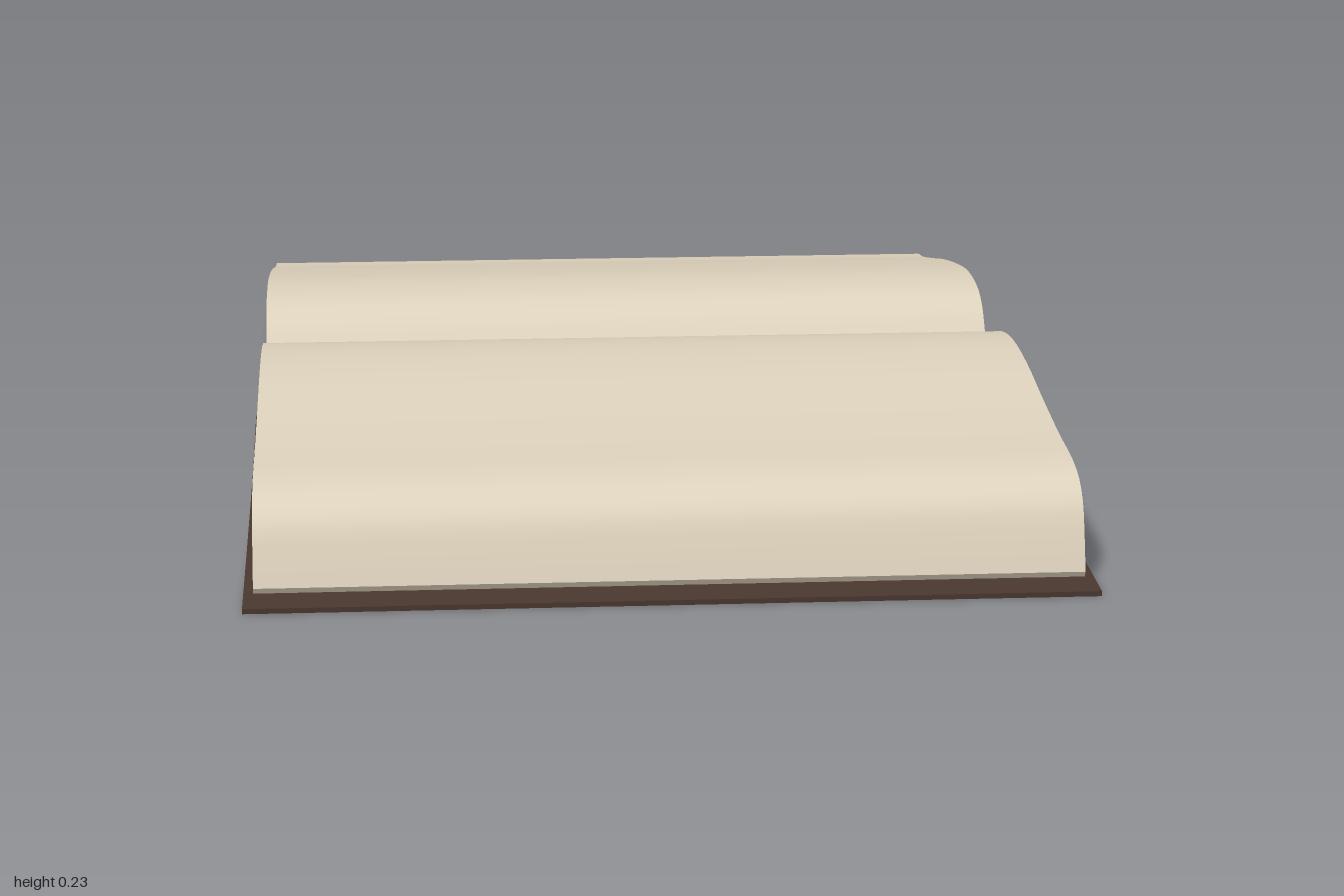
import * as THREE from 'three';
import { toCreasedNormals } from 'three/addons/utils/BufferGeometryUtils.js';

const paper = new THREE.MeshStandardMaterial({ color: 0xddd2bc });
paper.name = 'paper';
const leather = new THREE.MeshStandardMaterial({ color: 0x4a3830 });
leather.name = 'leather';

// Smooth curve through [z, y] points
function smooth(points, count) {
  const curve = new THREE.CatmullRomCurve3(points.map(([z, y]) => new THREE.Vector3(-z, y, 0)), false, 'centripetal');
  return curve.getSpacedPoints(count).map((p) => new THREE.Vector2(p.x, p.y));
}

// Extrude a closed side profile across the book's width
function extrudeAcross(outline, width, material, name) {
  const geometry = new THREE.ExtrudeGeometry(new THREE.Shape(outline), { depth: width, bevelEnabled: false });
  geometry.translate(0, 0, -width / 2);
  geometry.rotateY(Math.PI / 2);
  const mesh = new THREE.Mesh(toCreasedNormals(geometry, 0.6), material);
  mesh.name = name;
  return mesh;
}

// Page block: curved top and fore edge, straight underside
function pageBlock(top, name) {
  return extrudeAcross(smooth(top.slice(1, -1), 48)
    .concat([top[top.length - 1], top[0]].map(([z, y]) => new THREE.Vector2(-z, y))), 1.26, paper, name);
}

// Cover: a thin sheet following one line, thickened along its normals
function coverSheet(points, thickness) {
  const line = smooth(points, 110);
  const lower = [], upper = [];
  line.forEach((p, i) => {
    const a = line[Math.max(i - 1, 0)], b = line[Math.min(i + 1, line.length - 1)];
    const n = new THREE.Vector2(a.y - b.y, b.x - a.x).normalize().multiplyScalar(thickness / 2);
    lower.push(p.clone().sub(n));
    upper.push(p.clone().add(n));
  });
  return extrudeAcross(lower.concat(upper.reverse()), 1.29, leather, 'cover');
}

export function createModel() {
  const book = new THREE.Group();
  book.name = 'openBook';

  book.add(pageBlock([
    [0.01, 0.078], [0.01, 0.157], [0.07, 0.186], [0.15, 0.209], [0.23, 0.22], [0.31, 0.221],
    [0.42, 0.212], [0.55, 0.193], [0.7, 0.174], [0.82, 0.163], [0.875, 0.148], [0.91, 0.12],
    [0.927, 0.08], [0.945, 0.022], [0.94, 0.013],
  ], 'frontPages'));

  book.add(pageBlock([
    [-0.018, 0.088], [-0.018, 0.162], [-0.05, 0.2], [-0.09, 0.222], [-0.15, 0.232], [-0.23, 0.233],
    [-0.34, 0.22], [-0.5, 0.194], [-0.65, 0.164], [-0.77, 0.141], [-0.845, 0.13], [-0.88, 0.108],
    [-0.9, 0.07], [-0.917, 0.04], [-0.917, 0.022],
  ], 'backPages'));

  // Boards with the spine's dip between them
  book.add(coverSheet([
    [1, 0.004], [0.8, 0.014], [0.6, 0.026], [0.42, 0.038], [0.3, 0.05], [0.22, 0.065], [0.16, 0.074],
    [0.12, 0.071], [0.098, 0.052], [0.085, 0.031], [0.06, 0.02], [0.01, 0.018], [-0.04, 0.026],
    [-0.068, 0.042], [-0.08, 0.067], [-0.1, 0.085], [-0.14, 0.087], [-0.21, 0.081], [-0.3, 0.064],
    [-0.4, 0.047], [-0.55, 0.034], [-0.7, 0.021], [-0.82, 0.013], [-1, 0.013],
  ], 0.008));

  return book;
}
